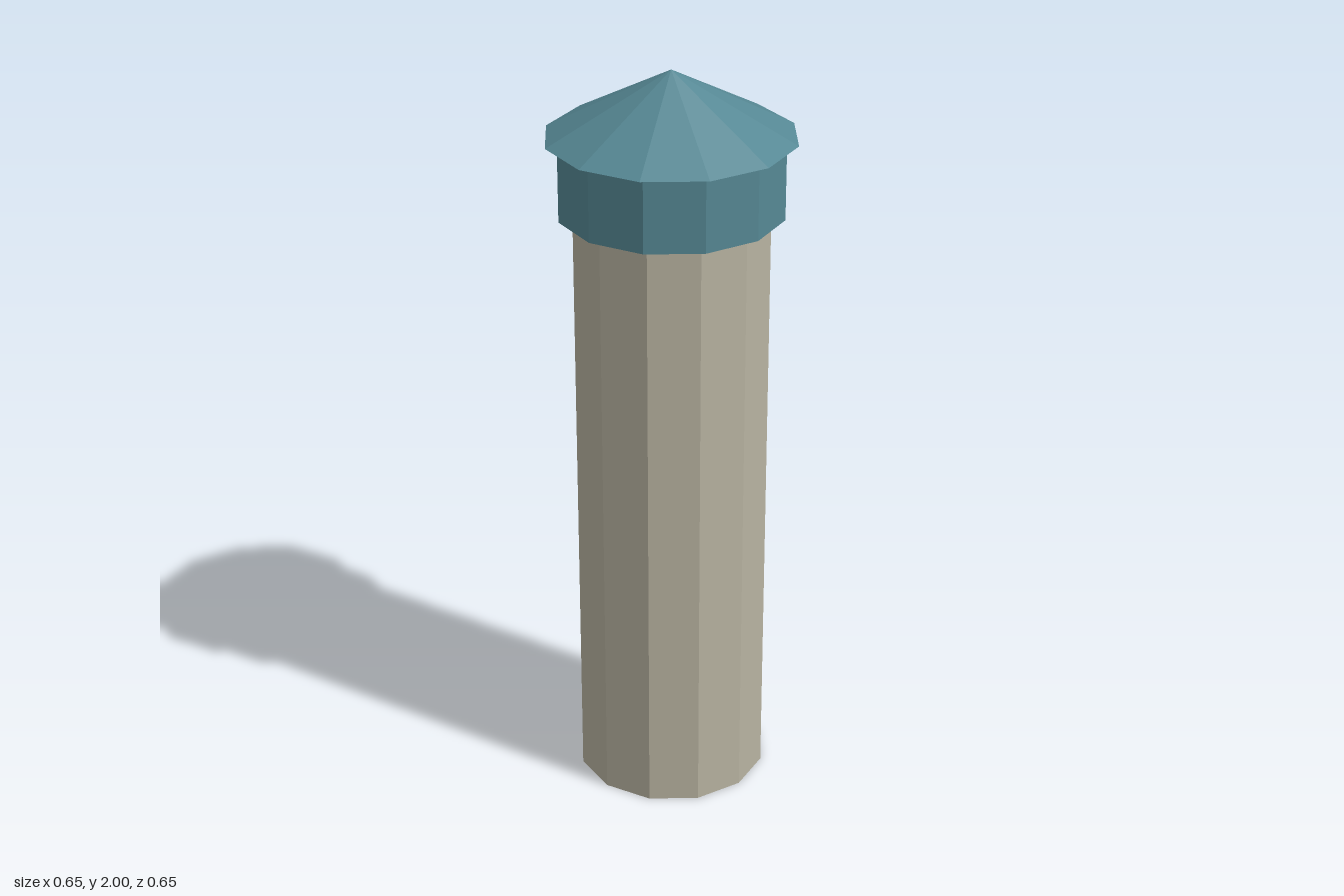
import * as THREE from 'three';

const SIDES = 12;
const stone = new THREE.MeshStandardMaterial({ color: 0xb8b3a1, flatShading: true });
const teal = new THREE.MeshStandardMaterial({ color: 0x568894, flatShading: true });

// Twelve-sided solid standing between two heights
function prism(name, topRadius, bottomRadius, y0, y1, material) {
  const geometry = topRadius > 0
    ? new THREE.CylinderGeometry(topRadius, bottomRadius, y1 - y0, SIDES)
    : new THREE.ConeGeometry(bottomRadius, y1 - y0, SIDES);
  const mesh = new THREE.Mesh(geometry, material);
  mesh.name = name;
  mesh.position.y = (y0 + y1) / 2;
  return mesh;
}

export function createModel() {
  const tower = new THREE.Group();
  tower.name = 'tower';
  tower.add(
    prism('shaft', 0.257, 0.257, 0, 1.63, stone),
    prism('collar', 0.293, 0.293, 1.63, 1.828, teal),
    prism('roof', 0, 0.323, 1.828, 2, teal), // overhanging cone
  );
  return tower;
}
